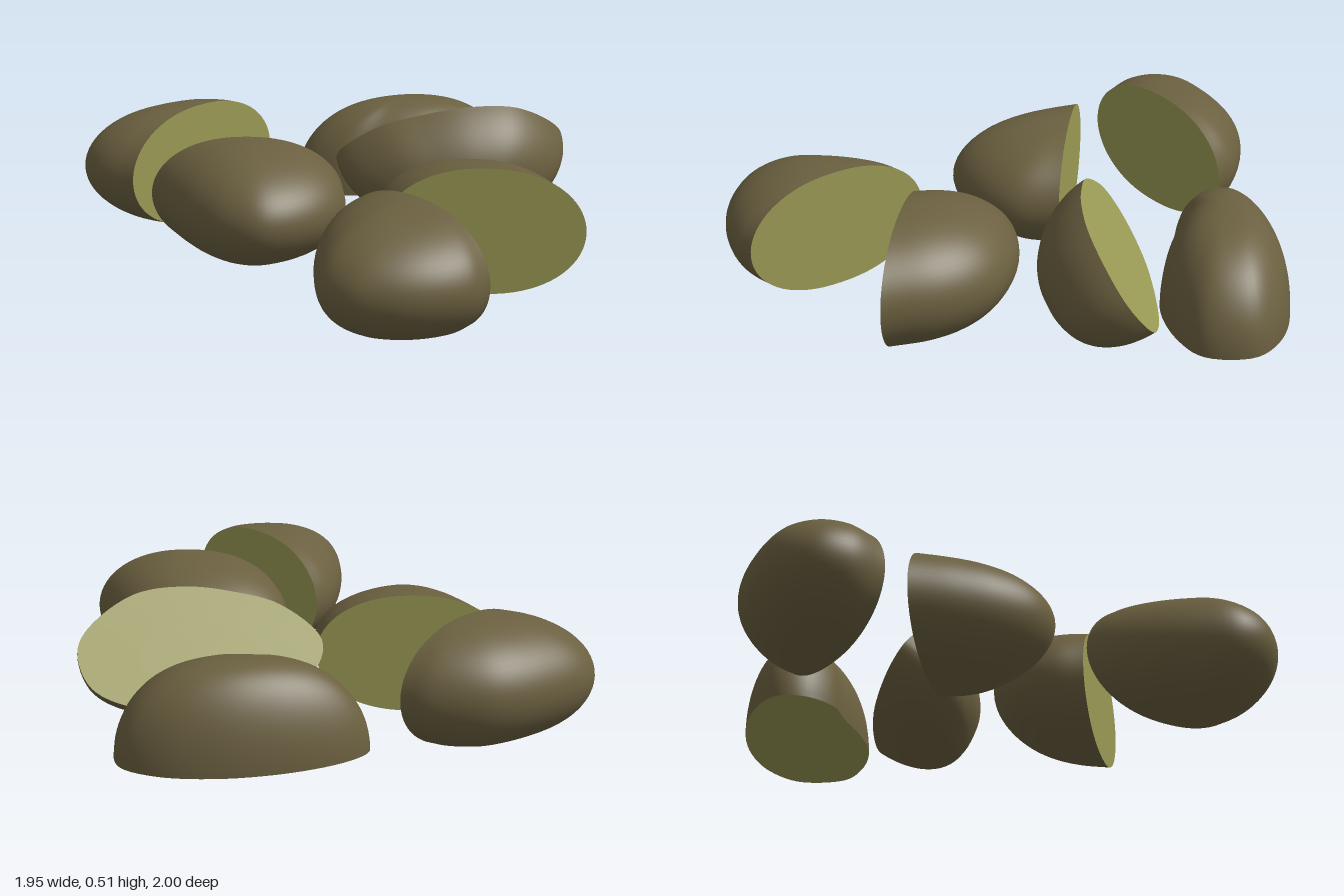
import * as THREE from 'three';
import { ParametricGeometry } from 'three/addons/geometries/ParametricGeometry.js';
import { mergeVertices } from 'three/addons/utils/BufferGeometryUtils.js';

const skin = new THREE.MeshStandardMaterial({ color: 0x6b6040 });
const flesh = new THREE.MeshStandardMaterial({ color: 0x9a9a55 });

// Smooth surface from a rule (s, t) -> [x, y, z], welded at seams and poles
function surface(rule, ns, nt) {
  const geo = new ParametricGeometry((s, t, p) => p.set(...rule(s, t)), ns, nt);
  geo.deleteAttribute('uv');
  geo.deleteAttribute('normal');
  const welded = mergeVertices(geo, 1e-5);
  welded.computeVertexNormals();
  return welded;
}

const spline = (pts, closed) =>
  new THREE.CatmullRomCurve3(pts.map(([a, b]) => new THREE.Vector3(a, b, 0)), closed, 'centripetal');

// One cut piece: local x runs along the cut, y across it, z into the dome
function piece(name, domeRule, edge, ns, nt, centre, along, across) {
  const group = new THREE.Group();
  group.name = name;
  const dome = new THREE.Mesh(surface(domeRule, ns, nt), skin);
  dome.name = 'skin';
  const face = new THREE.Mesh(surface((s, t) => {
    const [x, y] = edge(s);
    return [x * t, y * t, 0];
  }, 72, 2), flesh);
  face.name = 'cutFace';
  group.add(dome, face);
  const u = new THREE.Vector3(...along).normalize();
  const v = new THREE.Vector3(...across).normalize();
  group.applyMatrix4(new THREE.Matrix4().makeBasis(u, v, u.clone().cross(v)).setPosition(...centre));
  return group;
}

// Half cut lengthwise: a bean-shaped cut outline shrinking into a dome
function longHalf(name, outline, depth, fullness, centre, along, across) {
  const curve = spline(outline, true);
  const edge = s => {
    const p = curve.getPoint(s % 1);
    return [p.x, p.y];
  };
  const rule = (s, t) => {
    const [x, y] = edge(s);
    const k = t === 1 ? 0 : Math.cos(t * Math.PI / 2) ** fullness;
    return [x * k, y * k, depth * Math.sin(t * Math.PI / 2)];
  };
  return piece(name, rule, edge, 72, 24, centre, along, across);
}

// Half standing on its side: a lopsided plan profile with an upright oval cut
function sideHalf(name, profile, height, centre, along) {
  const half = 0.345;
  const curve = spline([[half, 0], ...profile, [-half, 0]], false);
  const girth = b => Math.max(0, Math.cos(b)) ** 0.9;
  const rule = (s, t) => {
    const b = (s - 0.5) * Math.PI;
    const k = s === 0 || s === 1 ? 0 : girth(b);
    const p = curve.getPoint(t);
    return [p.x * k, height * Math.sin(b), p.y * k];
  };
  const edge = s => {
    const a = (s % 1) * Math.PI * 2;
    const c = Math.cos(a);
    return [half * Math.sign(c) * Math.abs(c) ** 0.9, height * Math.sin(a)];
  };
  return piece(name, rule, edge, 36, 48, centre, along, [0, 1, 0]);
}

export function createModel() {
  const model = new THREE.Group();
  model.name = 'potatoHalves';

  // Back half lying cut side down
  model.add(longHalf('backHalf', [
    [0.40, 0.11], [0.32, 0.26], [0.17, 0.29], [-0.03, 0.23], [-0.23, 0.09], [-0.36, -0.07],
    [-0.39, -0.18], [-0.33, -0.26], [-0.20, -0.29], [-0.08, -0.25], [0.07, -0.21], [0.22, -0.14], [0.35, -0.01],
  ], 0.335, 0.8, [0.03, 0.085, -0.71], [1, 0, 0], [0, 0, -1]));

  // Half leaning back with its cut side tilted up
  model.add(longHalf('leaningHalf', [
    [0.42, 0.05], [0.38, 0.13], [0.21, 0.245], [0.03, 0.263], [-0.14, 0.233], [-0.30, 0.175],
    [-0.43, 0.04], [-0.40, -0.06], [-0.23, -0.165], [0.08, -0.184], [0.30, -0.137], [0.39, -0.07],
  ], 0.3, 0.85, [0.295, 0.3, -0.45], [0.832, 0, -0.555], [0.316, 0.82, 0.474]));

  // Four halves resting on their sides
  model.add(sideHalf('rightHalf', [
    [0.384, 0.147], [0.347, 0.269], [0.238, 0.346], [0.041, 0.34], [-0.173, 0.265], [-0.313, 0.106],
  ], 0.225, [-0.57, 0.25, -0.14], [-0.377, 0, 0.927]));

  model.add(sideHalf('centreHalf', [
    [0.347, 0.182], [0.243, 0.336], [0.077, 0.426], [-0.06, 0.392], [-0.179, 0.286], [-0.266, 0.154],
  ], 0.217, [-0.29, 0.225, 0.078], [0.928, 0, -0.371]));

  model.add(sideHalf('leftHalf', [
    [0.373, 0.114], [0.363, 0.228], [0.285, 0.327], [0.129, 0.376], [-0.045, 0.355], [-0.16, 0.292], [-0.258, 0.181],
  ], 0.225, [0.65, 0.25, 0.209], [-0.939, 0, 0.344]));

  model.add(sideHalf('frontHalf', [
    [0.361, 0.094], [0.324, 0.224], [0.246, 0.339], [0.14, 0.417], [0.02, 0.425],
    [-0.107, 0.343], [-0.235, 0.216], [-0.318, 0.09],
  ], 0.22, [0.526, 0.25, 0.558], [0.9, 0, 0.435]));

  return model;
}
